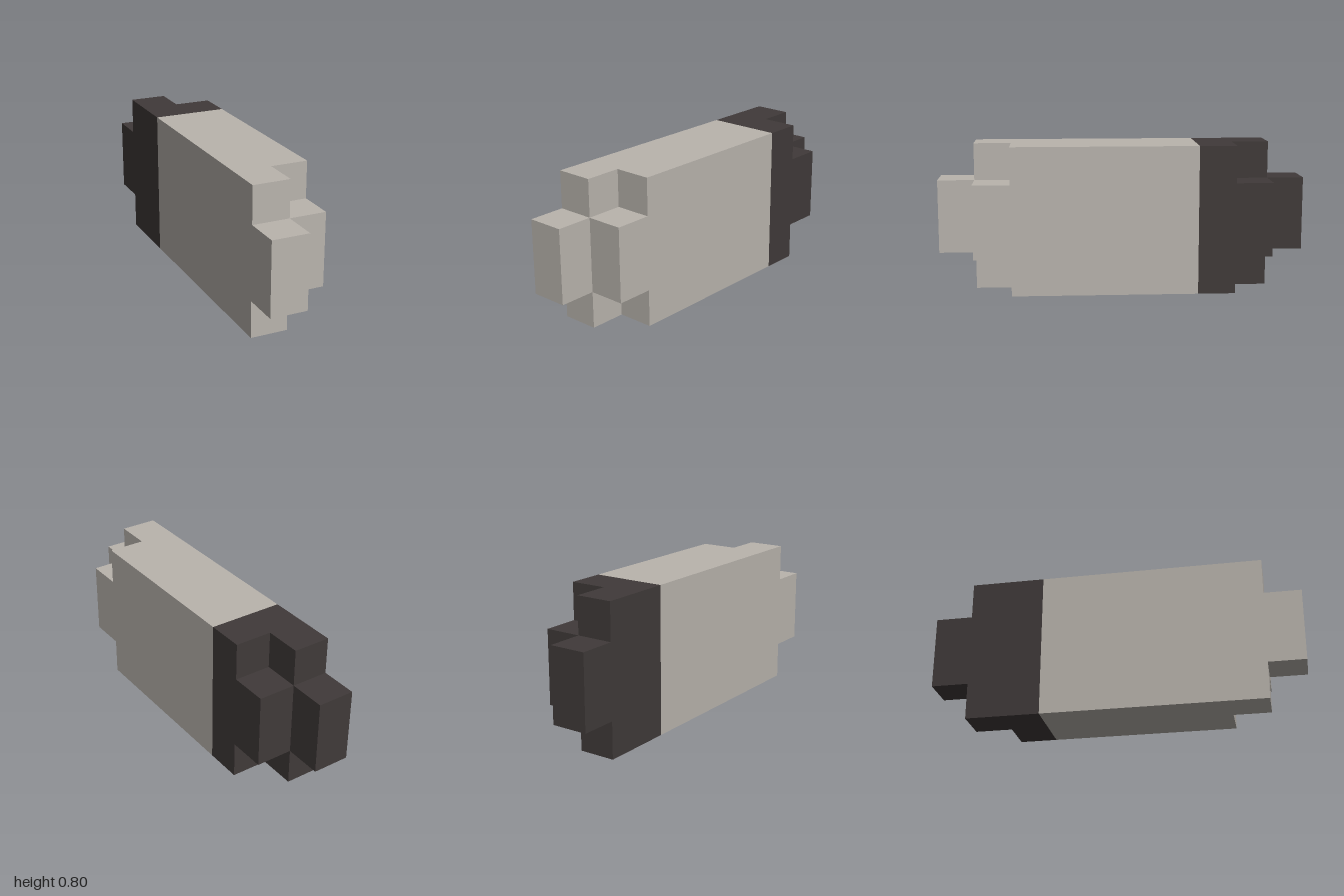
import * as THREE from 'three';

const STEP = 0.2;   // edge of one block
const SEAM = -0.4;  // z where the two colours meet

// One slab, STEP thick: runs from the seam to a stepped end in z.
// The middle two rows stand one block further out than the top and bottom rows.
function slab(name, material, xMax, reach, dir) {
  const inner = dir * (reach - STEP), outer = dir * reach;
  const outline = [
    [SEAM, 0], [inner, 0], [inner, STEP], [outer, STEP],
    [outer, 3 * STEP], [inner, 3 * STEP], [inner, 4 * STEP], [SEAM, 4 * STEP],
  ].map(([z, y]) => new THREE.Vector2(z, y));
  const geometry = new THREE.ExtrudeGeometry(new THREE.Shape(outline), { depth: STEP, bevelEnabled: false });
  geometry.rotateY(-Math.PI / 2).translate(xMax, 0, 0);
  const mesh = new THREE.Mesh(geometry, material);
  mesh.name = name;
  return mesh;
}

export function createModel() {
  const pale = new THREE.MeshStandardMaterial({ color: 0xb9b4ad, flatShading: true });
  pale.name = 'paleGrey';
  const dark = new THREE.MeshStandardMaterial({ color: 0x403a39, flatShading: true });
  dark.name = 'darkBrownGrey';

  const model = new THREE.Group();
  model.name = 'blockCapsule';

  // The right half (-x) is one block longer at each end than the left half (+x).
  for (const [side, xMax, reach] of [['right', 0, 1], ['left', STEP, 0.8]]) {
    model.add(
      slab(`${side}Body`, pale, xMax, reach, 1),
      slab(`${side}BackCap`, dark, xMax, reach, -1),
    );
  }
  return model;
}
